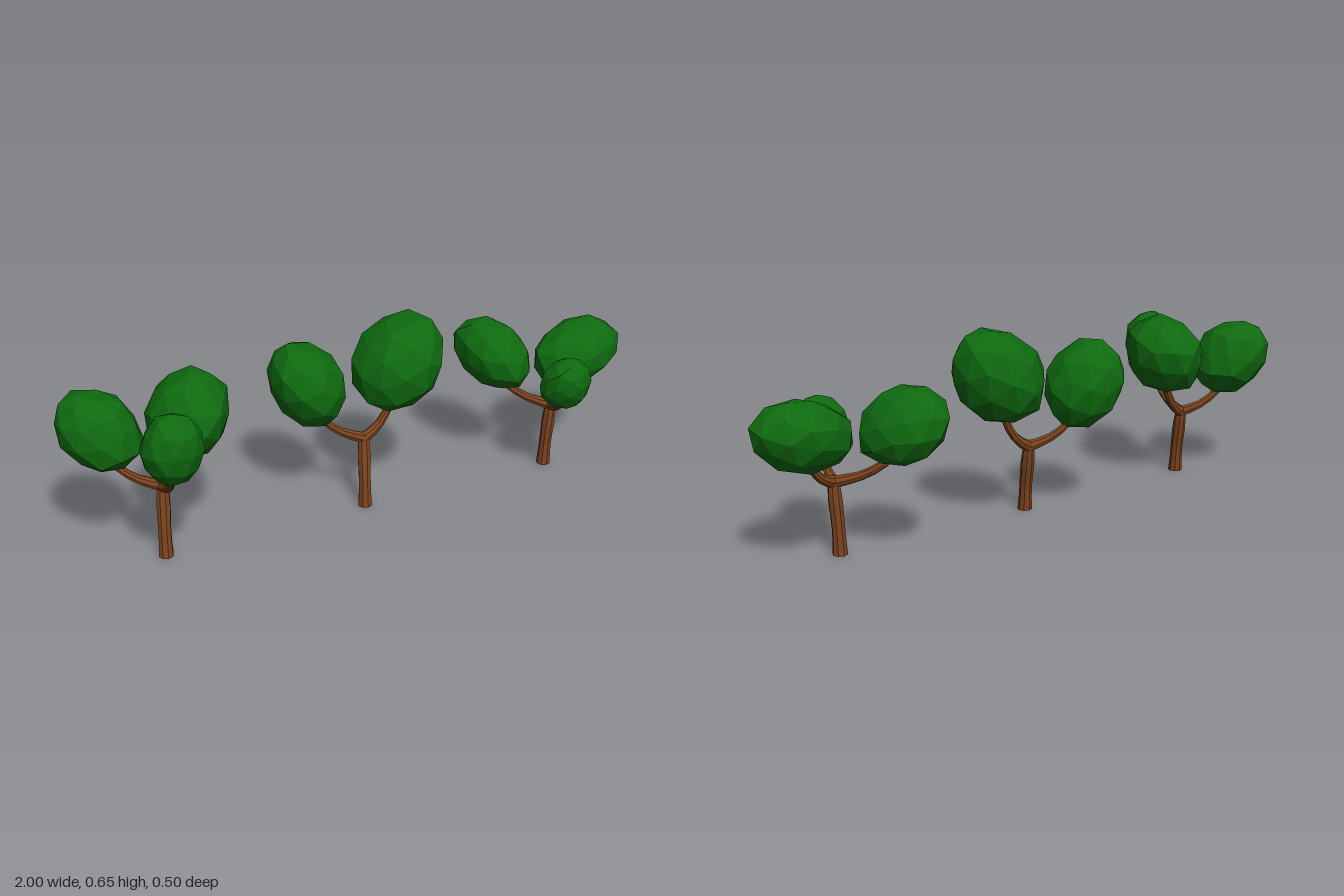
import * as THREE from 'three';

const V = (p) => new THREE.Vector3(...p);

// Flat-shaded copy of a geometry
function faceted(geo) {
  const g = geo.index ? geo.toNonIndexed() : geo;
  g.computeVertexNormals();
  return g;
}

// Small repeatable hash so shared corners move together
function hash(p, seed) {
  const [x, y, z] = p.toArray().map((n) => Math.round(n * 100));
  const s = Math.sin(x * 12.99 + y * 78.23 + z * 37.72 + seed * 9.17) * 43758.5;
  return s - Math.floor(s);
}

// Limb along a smooth curve, with radii blended from start to end
function limbGeometry(points, radii) {
  const curve = new THREE.CatmullRomCurve3(points);
  const rings = 6, sides = 8;
  const geo = new THREE.TubeGeometry(curve, rings, 1, sides, false);
  const pos = geo.attributes.position, p = new THREE.Vector3();
  for (let i = 0; i <= rings; i++) {
    const c = curve.getPointAt(i / rings);
    const f = (i / rings) * (radii.length - 1), k = Math.min(Math.floor(f), radii.length - 2);
    const r = THREE.MathUtils.lerp(radii[k], radii[k + 1], f - k);
    for (let j = 0; j <= sides; j++) {
      const n = i * (sides + 1) + j;
      p.fromBufferAttribute(pos, n).sub(c).multiplyScalar(r).add(c);
      // The end that stands on the ground is cut level
      if (i === 0 && points[0].y === 0) p.y = 0;
      pos.setXYZ(n, p.x, p.y, p.z);
    }
  }
  return faceted(geo);
}

// Trunk rises straight at first, then leans into the fork
function trunkPath(base, fork) {
  const at = (t, lean) => base.clone().lerp(fork, lean).setY(fork.y * t);
  return [base, at(0.4, 0.25), at(0.75, 0.7), at(1.06, 1.05)];
}

// Branch sweeps outward from the fork, then turns up into its crown
function branchPath(fork, centre) {
  const at = (out, up) => fork.clone().lerp(centre, out).setY(THREE.MathUtils.lerp(fork.y, centre.y, up));
  return [fork, at(0.4, 0.12), at(0.75, 0.36), at(0.97, 0.7)];
}

// Uneven faceted crown of given centre and radii, longest along its outward axis
function crownGeometry(centre, radii, outward, seed) {
  const geo = new THREE.IcosahedronGeometry(1, 1);
  geo.rotateX(seed * 0.7).rotateY(seed * 1.3);
  const pos = geo.attributes.position, p = new THREE.Vector3();
  for (let i = 0; i < pos.count; i++) {
    p.fromBufferAttribute(pos, i);
    const bump = 0.95 + 0.1 * hash(p, seed);
    p.addScaledVector(outward, p.dot(outward) * 0.25).multiplyScalar(bump);
    pos.setXYZ(i, p.x, p.y, p.z);
  }
  geo.center();
  const half = geo.boundingBox.getSize(new THREE.Vector3()).multiplyScalar(0.5);
  geo.scale(...radii.clone().divide(half).toArray());
  geo.translate(...centre.toArray());
  return faceted(geo);
}

// Each crown is a centre and its radii
const TREES = [
  {
    name: 'rightTree', base: [-0.722, 0, 0.016], fork: [-0.705, 0.235, -0.022],
    crowns: [
      [[-0.872, 0.43, -0.098], [0.128, 0.13, 0.133]],
      [[-0.602, 0.47, -0.032], [0.132, 0.14, 0.153]],
      [[-0.721, 0.452, 0.155], [0.099, 0.126, 0.095]],
    ],
  },
  {
    name: 'middleTree', base: [-0.004, 0, 0.014], fork: [0.012, 0.235, -0.028],
    crowns: [
      [[-0.158, 0.438, -0.1], [0.127, 0.148, 0.13]],
      [[0.138, 0.495, -0.032], [0.154, 0.16, 0.153]],
    ],
  },
  {
    name: 'leftTree', base: [0.712, 0, 0.032], fork: [0.722, 0.235, 0.04],
    crowns: [
      [[0.555, 0.416, -0.1], [0.12, 0.125, 0.152]],
      [[0.838, 0.411, 0.004], [0.162, 0.114, 0.116]],
      [[0.69, 0.38, 0.168], [0.09, 0.097, 0.081]],
    ],
  },
];

export function createModel() {
  const bark = new THREE.MeshStandardMaterial({ name: 'bark', color: 0x7c431f });
  const leaf = new THREE.MeshStandardMaterial({ name: 'leafGreen', color: 0x0f6a10 });
  const model = new THREE.Group();
  model.name = 'threeTrees';

  TREES.forEach((spec, t) => {
    const tree = new THREE.Group();
    tree.name = spec.name;
    const add = (name, geo, mat) => {
      const mesh = new THREE.Mesh(geo, mat);
      mesh.name = name;
      tree.add(mesh);
    };
    const base = V(spec.base), fork = V(spec.fork);

    // Trunk with its underside
    add('trunk', limbGeometry(trunkPath(base, fork), [0.025, 0.021, 0.022, 0.024, 0.016]), bark);
    add('trunkFoot', new THREE.CircleGeometry(0.024, 8).rotateX(Math.PI / 2).translate(...spec.base), bark);

    // One branch reaching into each crown
    spec.crowns.forEach(([c, r], i) => {
      const centre = V(c), outward = centre.clone().sub(fork).normalize();
      add('branch' + (i + 1), limbGeometry(branchPath(fork, centre), [0.02, 0.015, 0.013, 0.01]), bark);
      add('crown' + (i + 1), crownGeometry(centre, V(r), outward, t * 3 + i + 1), leaf);
    });
    model.add(tree);
  });
  return model;
}
